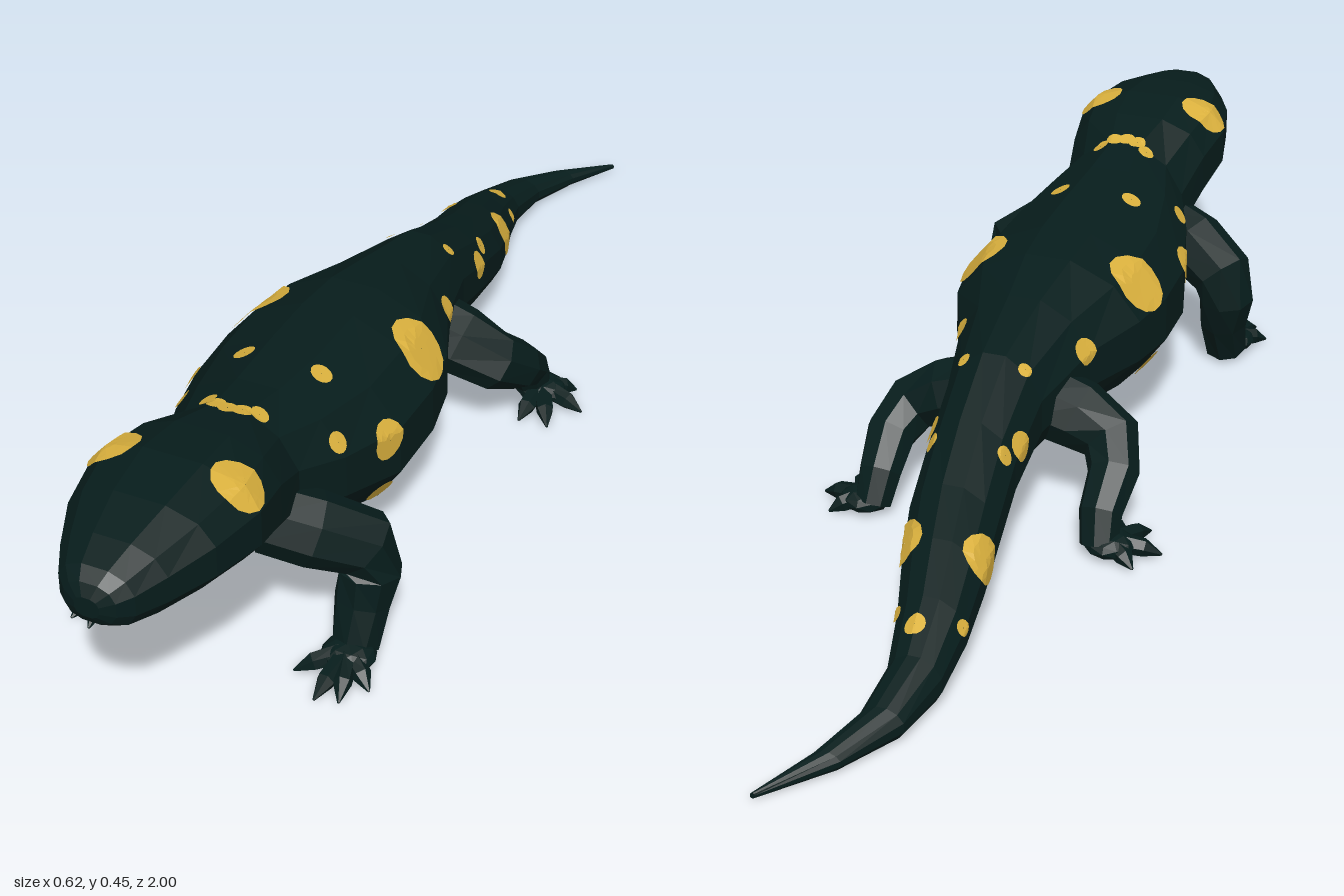
import * as THREE from 'three';

const flat = (name, color) => {
  const m = new THREE.MeshStandardMaterial({ color, flatShading: true });
  m.name = name;
  return m;
};
const V = (x, y, z) => new THREE.Vector3(x, y, z);

// Skin a list of rings; keep(s, i) picks which faces belong to this mesh
function loft(rings, keep = () => true, caps = true) {
  const pos = [], n = rings[0].length, last = rings.length - 1;
  const tri = (...p) => p.forEach(v => pos.push(v.x, v.y, v.z));
  const mid = r => r.reduce((a, p) => a.add(p), V(0, 0, 0)).divideScalar(n);
  for (let i = 0; i < n; i++) {
    const j = (i + 1) % n;
    for (let s = 0; s < last; s++) {
      if (!keep(s, i)) continue;
      const a = rings[s][i], b = rings[s][j], c = rings[s + 1][i], d = rings[s + 1][j];
      tri(a, b, c);
      tri(b, d, c);
    }
    if (caps) {
      tri(mid(rings[0]), rings[0][j], rings[0][i]);
      tri(mid(rings[last]), rings[last][i], rings[last][j]);
    }
  }
  const g = new THREE.BufferGeometry();
  g.setAttribute('position', new THREE.Float32BufferAttribute(pos, 3));
  g.computeVertexNormals();
  return g;
}

// Tapered limb through points [x, y, z, radius]
function limb(points, sides) {
  const P = points.map(p => V(p[0], p[1], p[2])), ref = V(0, 1, -1).normalize();
  return loft(P.map((p, k) => {
    const t = P[Math.min(k + 1, P.length - 1)].clone().sub(P[Math.max(k - 1, 0)]).normalize();
    const u = ref.clone().cross(t).normalize(), v = t.clone().cross(u);
    return Array.from({ length: sides }, (_, i) => {
      const a = i / sides * Math.PI * 2, r = points[k][3];
      return p.clone().addScaledVector(u, r * Math.cos(a)).addScaledVector(v, r * Math.sin(a));
    });
  }));
}

// Body sections, tail to nose: z, centre x, half width, bottom, top
const SECTIONS = [
  [-1, 0.06, 0.004, 0.004, 0.014],
  [-0.9, -0.012, 0.024, 0.003, 0.035],
  [-0.8, -0.06, 0.036, 0.003, 0.058],
  [-0.7, -0.073, 0.045, 0.005, 0.088],
  [-0.6, -0.062, 0.058, 0.02, 0.13],
  [-0.5, -0.042, 0.07, 0.04, 0.172],
  [-0.4, -0.022, 0.077, 0.062, 0.21],
  [-0.28, -0.007, 0.078, 0.092, 0.262],
  [-0.15, 0, 0.085, 0.122, 0.32],
  [0, 0, 0.12, 0.128, 0.355],
  [0.12, 0, 0.172, 0.118, 0.378],
  [0.22, 0, 0.19, 0.109, 0.386],
  [0.34, 0, 0.186, 0.101, 0.39],
  [0.47, 0, 0.152, 0.145, 0.4],
  [0.56, 0, 0.115, 0.185, 0.415],
  [0.65, 0, 0.13, 0.235, 0.435],
  [0.74, 0, 0.143, 0.27, 0.447],
  [0.84, 0, 0.122, 0.288, 0.44],
  [0.92, 0, 0.088, 0.298, 0.425],
  [0.97, 0, 0.062, 0.31, 0.41],
  [0.99, 0, 0.042, 0.325, 0.395],
  [1, 0, 0.02, 0.342, 0.376],
];
const SIDES = 12;

// Boxy head and underside, sloping flanks on the back
function bodyRings() {
  return SECTIONS.map(([z, cx, hw, lo, hi]) => Array.from({ length: SIDES }, (_, i) => {
    const a = (i + 0.5) / SIDES * Math.PI * 2;
    const power = z < 0.6 && Math.sin(a) > 0 ? 1.08 : 0.8;
    const f = v => Math.sign(v) * Math.pow(Math.abs(v), power) / 0.973;
    return V(cx + hw * f(Math.cos(a)), (lo + hi) / 2 + (hi - lo) / 2 * f(Math.sin(a)), z);
  }));
}

// Centre line of the body at a given z
function axisAt(z) {
  const s = Math.max(1, SECTIONS.findIndex(q => q[0] >= z));
  const a = SECTIONS[s - 1], b = SECTIONS[s], t = (z - a[0]) / (b[0] - a[0]);
  const mix = (p, q) => p + (q - p) * t;
  return V(mix(a[1], b[1]), mix(a[3] + a[4], b[3] + b[4]) / 2, z);
}

// Thin round patch wrapped onto the body
function spotGeometry(targets, z, degrees, r) {
  const a = THREE.MathUtils.degToRad(degrees);
  const dir = V(Math.cos(a), Math.sin(a), 0), e1 = V(0, 0, 1), e2 = dir.clone().cross(e1);
  const start = axisAt(z).addScaledVector(dir, 0.6), ray = new THREE.Raycaster();
  const land = from => {
    ray.set(from, dir.clone().negate());
    const hit = ray.intersectObjects(targets)[0];
    return hit ? hit.point : null;
  };
  const centre = land(start);
  const g = new THREE.RingGeometry(0.0005, r, 14, 3), p = g.attributes.position;
  for (let i = 0; i < p.count; i++) {
    const from = start.clone().addScaledVector(e1, p.getX(i)).addScaledVector(e2, p.getY(i));
    const q = (land(from) || centre).clone().addScaledVector(dir, 0.004);
    p.setXYZ(i, q.x, q.y, q.z);
  }
  g.computeVertexNormals();
  return g;
}

// Spots repeated on both flanks: z, angle above the side, radius
const SPOTS = [
  [0.735, 31, 0.043], [0.47, 22, 0.018], [0.37, 8, 0.034], [0.385, 62, 0.019],
  [0.18, 27, 0.056], [0.19, -28, 0.03], [0.37, -27, 0.025], [-0.01, 17, 0.024],
  [-0.15, 55, 0.013], [-0.25, 18, 0.026], [-0.3, 38, 0.017], [-0.48, 20, 0.042],
  [-0.61, 20, 0.014],
];
// Single spots along the spine: neck band and tail
const SPINE_SPOTS = [
  [0.55, 68, 0.016], [0.565, 79, 0.016], [0.57, 90, 0.016], [0.565, 101, 0.016], [0.55, 112, 0.016],
  [-0.65, 75, 0.018],
];

// Legs: joints with radii, palm centre, toe tips [x, z]
const LEGS = [
  {
    name: 'front',
    joints: [[0.07, 0.25, 0.59, 0.06], [0.14, 0.228, 0.565, 0.062], [0.208, 0.193, 0.525, 0.057],
      [0.218, 0.145, 0.525, 0.052], [0.21, 0.09, 0.54, 0.046], [0.21, 0.02, 0.565, 0.04]],
    palm: [0.212, 0.595],
    toes: [[0.142, 0.65], [0.2, 0.698], [0.238, 0.688], [0.27, 0.645]],
  },
  {
    name: 'hind',
    joints: [[0.05, 0.2, -0.06, 0.065], [0.12, 0.18, -0.06, 0.062], [0.182, 0.15, -0.07, 0.053],
      [0.203, 0.115, -0.12, 0.045], [0.2, 0.07, -0.18, 0.038], [0.205, 0.02, -0.203, 0.033]],
    palm: [0.222, -0.195],
    toes: [[0.215, -0.105], [0.268, -0.108], [0.308, -0.175], [0.275, -0.236]],
  },
];

export function createModel() {
  const skin = flat('dark teal skin', 0x071d1c);
  const cream = flat('cream belly', 0xc6bba9);
  const gold = flat('golden spots', 0xdcb23e);
  const model = new THREE.Group();
  model.name = 'salamander';
  const add = (parent, name, geometry, material) => {
    const mesh = new THREE.Mesh(geometry, material);
    mesh.name = name;
    parent.add(mesh);
    return mesh;
  };

  // Body, with the belly and throat as separate faces
  const rings = bodyRings();
  const isBelly = (s, i) => {
    const z = SECTIONS[s][0];
    if (z < -0.16 || z > 0.7) return false;
    return z > 0.6 ? i >= 6 && i <= 10 : i >= 7 && i <= 9;
  };
  const body = add(model, 'body', loft(rings, (s, i) => !isBelly(s, i)), skin);
  const belly = add(model, 'belly', loft(rings, isBelly, false), cream);

  // Spots on both flanks and along the spine
  const spots = new THREE.Group();
  spots.name = 'spots';
  const placed = [...SPOTS, ...SPOTS.map(([z, deg, r]) => [z, 180 - deg, r]), ...SPINE_SPOTS];
  for (const [z, deg, r] of placed) {
    add(spots, 'spot', spotGeometry([body, belly], z, deg, r), gold);
  }
  model.add(spots);

  // Legs, feet and toes
  for (const { name, joints, palm, toes } of LEGS) {
    for (const side of [1, -1]) {
      const leg = new THREE.Group();
      leg.name = name + (side > 0 ? 'LeftLeg' : 'RightLeg');
      const flip = pts => pts.map(([x, ...rest]) => [x * side, ...rest]);
      add(leg, 'limb', limb(flip(joints), 8), skin);
      const foot = new THREE.IcosahedronGeometry(1, 1);
      foot.scale(0.046, 0.022, 0.042).translate(palm[0] * side, 0.023, palm[1]);
      add(leg, 'foot', foot, skin);
      for (const [x, z] of toes) {
        const [px, pz] = palm, at = t => [px + (x - px) * t, pz + (z - pz) * t];
        const [ax, az] = at(0.15), [bx, bz] = at(0.65);
        add(leg, 'toe', limb(flip([[ax, 0.025, az, 0.018], [bx, 0.018, bz, 0.016], [x, 0.006, z, 0.002]]), 6), skin);
      }
      model.add(leg);
    }
  }
  return model;
}
